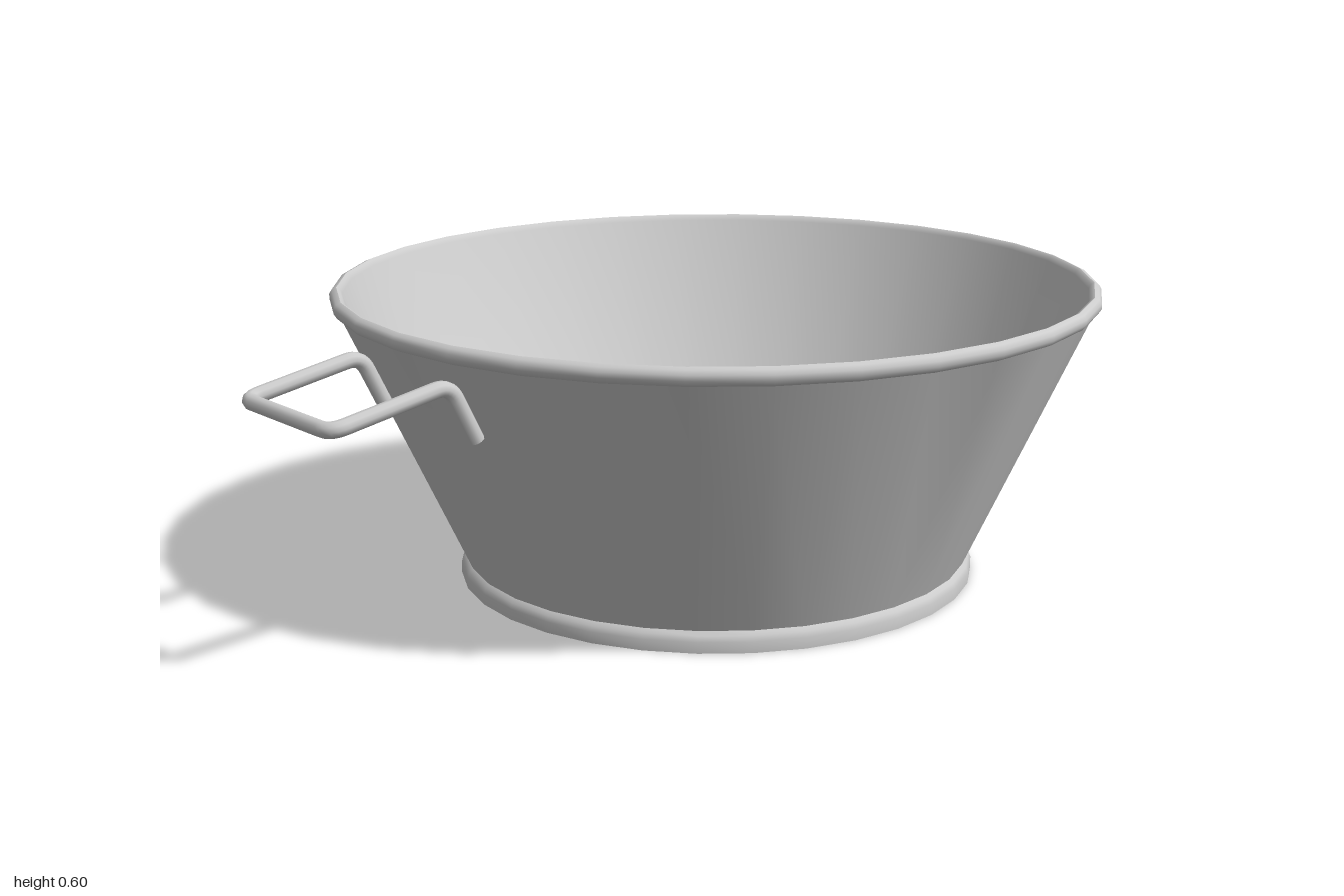
import * as THREE from 'three';
import { toCreasedNormals } from 'three/addons/utils/BufferGeometryUtils.js';

const material = new THREE.MeshStandardMaterial({ color: 0xcccccc });
const v = (x, y, z) => new THREE.Vector3(x, y, z);

// Straight runs joined by small rounded corners
function roundedPath(points, radius) {
  const path = new THREE.CurvePath();
  let from = points[0];
  for (let i = 1; i < points.length - 1; i++) {
    const p = points[i];
    const toward = (q) => p.clone().add(q.clone().sub(p).setLength(radius));
    const a = toward(points[i - 1]), b = toward(points[i + 1]);
    path.add(new THREE.LineCurve3(from, a));
    path.add(new THREE.QuadraticBezierCurve3(a, p, b));
    from = b;
  }
  path.add(new THREE.LineCurve3(from, points[points.length - 1]));
  return path;
}

// Thin-walled tub: base, foot ring, flared wall, rolled rim, inner wall, floor
function makeTub() {
  const profile = [
    [0, 0], [0.525, 0], [0.525, 0.022], [0.521, 0.033], [0.513, 0.04],
    [0.751, 0.565], [0.76, 0.569], [0.766, 0.578], [0.766, 0.588],
    [0.761, 0.596], [0.752, 0.6], [0.746, 0.597], [0.741, 0.588],
    [0.508, 0.042], [0.5, 0.034], [0.485, 0.03], [0, 0.03],
  ].map(([r, y]) => new THREE.Vector2(r, y));
  const geometry = toCreasedNormals(new THREE.LatheGeometry(profile, 32), 0.7);
  const tub = new THREE.Mesh(geometry, material);
  tub.name = 'tub';
  return tub;
}

// Bent-rod handle on the +z side
function makeHandle(name) {
  const rod = 0.015;
  const half = [v(0.144, 0.42, 0.69), v(0.144, 0.53, 0.745), v(0.144, 0.488, 0.985)];
  const points = [...half, ...half.map((p) => v(-p.x, p.y, p.z)).reverse()];
  const handle = new THREE.Group();
  handle.name = name;
  const bar = new THREE.Mesh(
    new THREE.TubeGeometry(roundedPath(points, 0.03), 120, rod, 10), material);
  bar.name = 'handleRod';
  handle.add(bar);

  // Flat caps closing the rod ends
  const down = half[0].clone().sub(half[1]).normalize();
  for (const side of [1, -1]) {
    const cap = new THREE.Mesh(new THREE.CircleGeometry(rod, 10), material);
    cap.name = 'rodEnd';
    cap.position.set(side * half[0].x, half[0].y, half[0].z);
    cap.quaternion.setFromUnitVectors(v(0, 0, 1), down);
    handle.add(cap);
  }
  return handle;
}

export function createModel() {
  const model = new THREE.Group();
  model.name = 'washtub';
  const back = makeHandle('backHandle');
  back.rotation.y = Math.PI;
  model.add(makeTub(), makeHandle('frontHandle'), back);
  return model;
}
